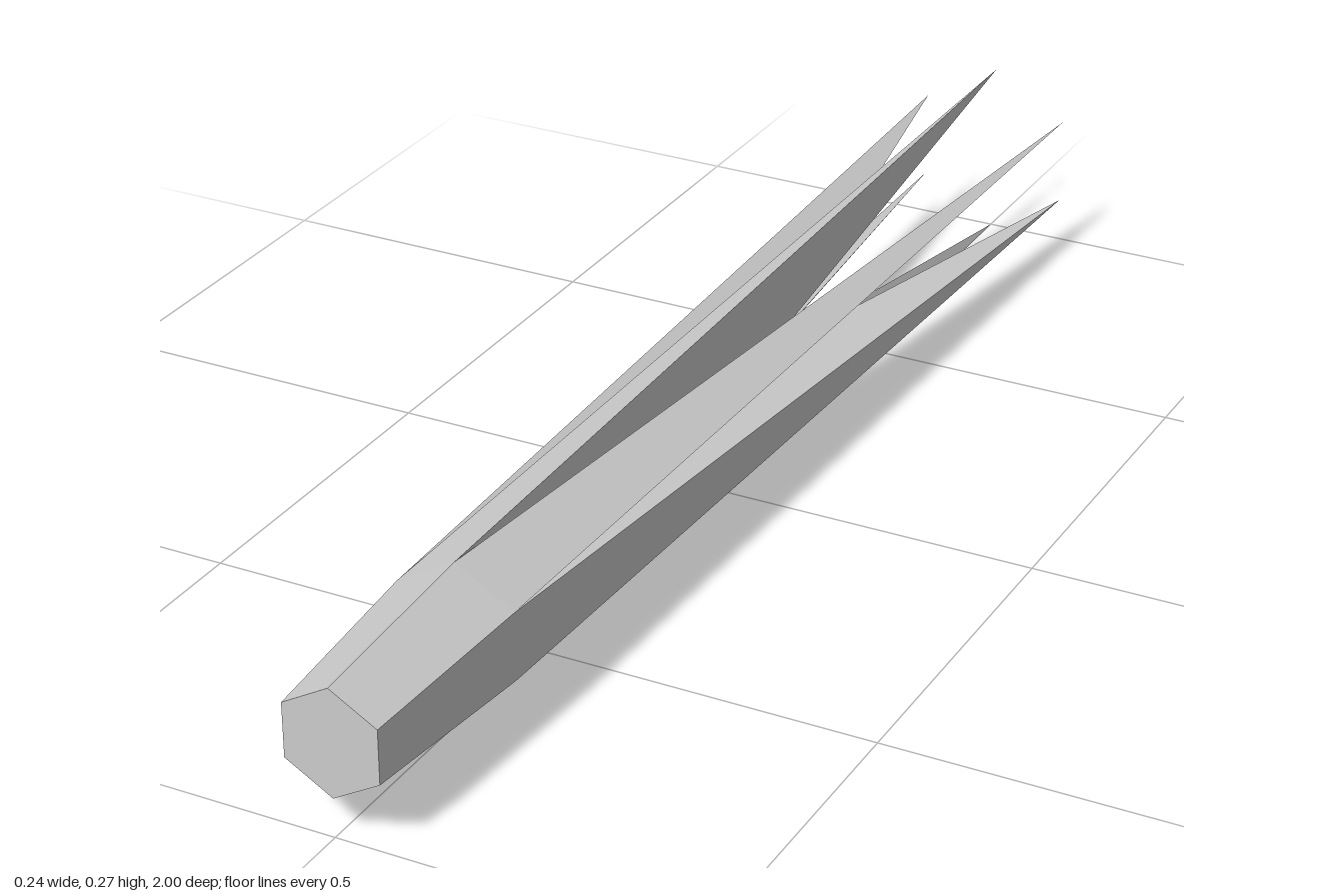
import * as THREE from 'three';

const SIDES = 6;
const AXIS_Y = 0.136;

// corner k of a hexagonal ring, counted clockwise from the top as seen from the front
function corner(k, radius, z) {
  const a = Math.PI / 2 - (k * Math.PI * 2) / SIDES;
  return [Math.cos(a) * radius, AXIS_Y + Math.sin(a) * radius, z];
}

function facetedMesh(name, triangles) {
  const geometry = new THREE.BufferGeometry();
  geometry.setAttribute('position', new THREE.Float32BufferAttribute(triangles.flat(2), 3));
  geometry.computeVertexNormals();
  const material = new THREE.MeshStandardMaterial({
    color: 0xcccccc, flatShading: true, side: THREE.DoubleSide,
  });
  const mesh = new THREE.Mesh(geometry, material);
  mesh.name = name;
  return mesh;
}

export function createModel() {
  const front = (k) => corner(k, 0.079, 1);
  const ring = (k) => corner(k, 0.1, 0.7);
  const tip = (k) => corner(k, 0.136, -1);
  const capCentre = [0, AXIS_Y, 1];
  const hollow = [0, AXIS_Y, -0.17]; // point on the axis where all the spikes meet

  const nose = [];
  const spikes = [];
  for (let k = 0; k < SIDES; k++) {
    // flat front cap and tapered collar
    nose.push([capCentre, front(k + 1), front(k)]);
    nose.push([front(k), front(k + 1), ring(k + 1)], [front(k), ring(k + 1), ring(k)]);
    // outer blade, swept to a tip over its clockwise corner
    spikes.push([ring(k), ring(k + 1), tip(k + 1)]);
    // inner sides of the blade, falling to the hollow
    spikes.push([ring(k), tip(k + 1), hollow], [tip(k), ring(k), hollow]);
  }

  const group = new THREE.Group();
  group.name = 'spikedShaft';
  group.add(facetedMesh('nose', nose), facetedMesh('spikes', spikes));
  return group;
}
